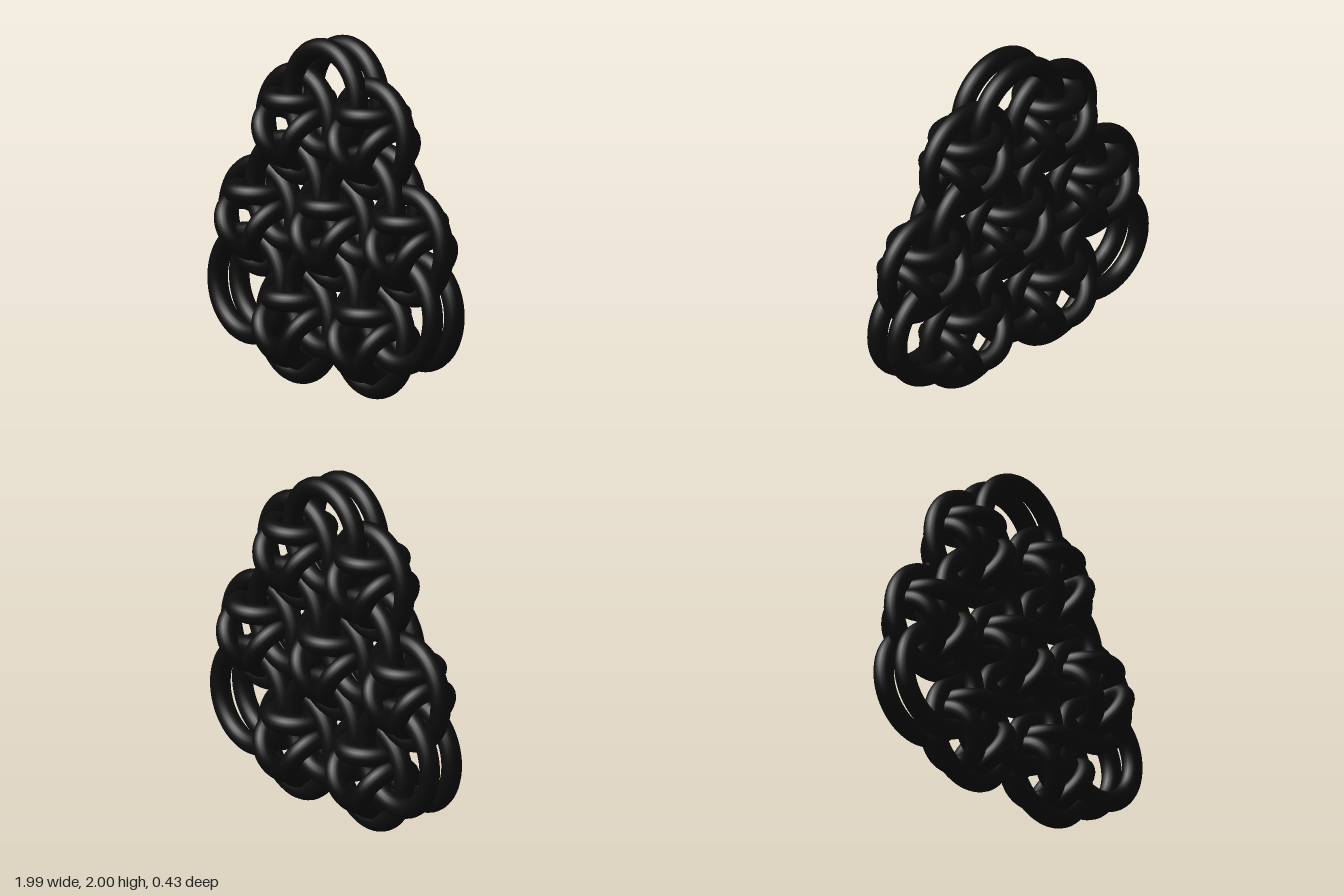
import * as THREE from 'three';

export function createModel() {
  const group = new THREE.Group();
  group.name = 'ringWeave';
  const material = new THREE.MeshStandardMaterial({ color: 0x0c0c0c });

  const wire = 0.0575;             // wire radius
  const largeR = 0.345 - wire;     // centre-line radius of the large rings
  const smallR = 0.157;            // centre-line radius of the linking rings
  const step = 0.648;              // spacing of the hexagonal lattice
  const row = step * Math.sqrt(3) / 2;
  const baseY = largeR + wire;

  const largeGeo = new THREE.TorusGeometry(largeR, wire, 20, 64);
  const smallGeo = new THREE.TorusGeometry(smallR, wire, 20, 48);
  smallGeo.rotateX(Math.PI / 2);   // lies in the xz plane

  function addRing(name, geometry, x, y, z = 0, turn = 0) {
    const ring = new THREE.Mesh(geometry, material);
    ring.name = name;
    ring.position.set(x, y, z);
    ring.rotation.z = turn;
    group.add(ring);
  }

  // Single flat rings in rows of 2, 3, 2, each round three linking rings
  [2, 3, 2].forEach((count, r) => {
    for (let i = 0; i < count; i++) {
      const x = (i - (count - 1) / 2) * step;
      const y = baseY + r * row;
      addRing('flatRing', largeGeo, x, y);
      for (let k = 0; k < 3; k++) {
        const turn = k * Math.PI * 2 / 3;
        addRing('linkRing', smallGeo, x - 0.139 * Math.sin(turn), y + 0.139 * Math.cos(turn), 0, turn);
      }
    }
  });

  // Paired flat rings in a triangle of 3, 2, 1, front and back
  [3, 2, 1].forEach((count, r) => {
    for (let i = 0; i < count; i++) {
      const x = (i - (count - 1) / 2) * step;
      const y = baseY + r * row + row / 3;
      for (const z of [-0.078, 0.078]) addRing('pairedRing', largeGeo, x, y, z);
    }
  });

  return group;
}
